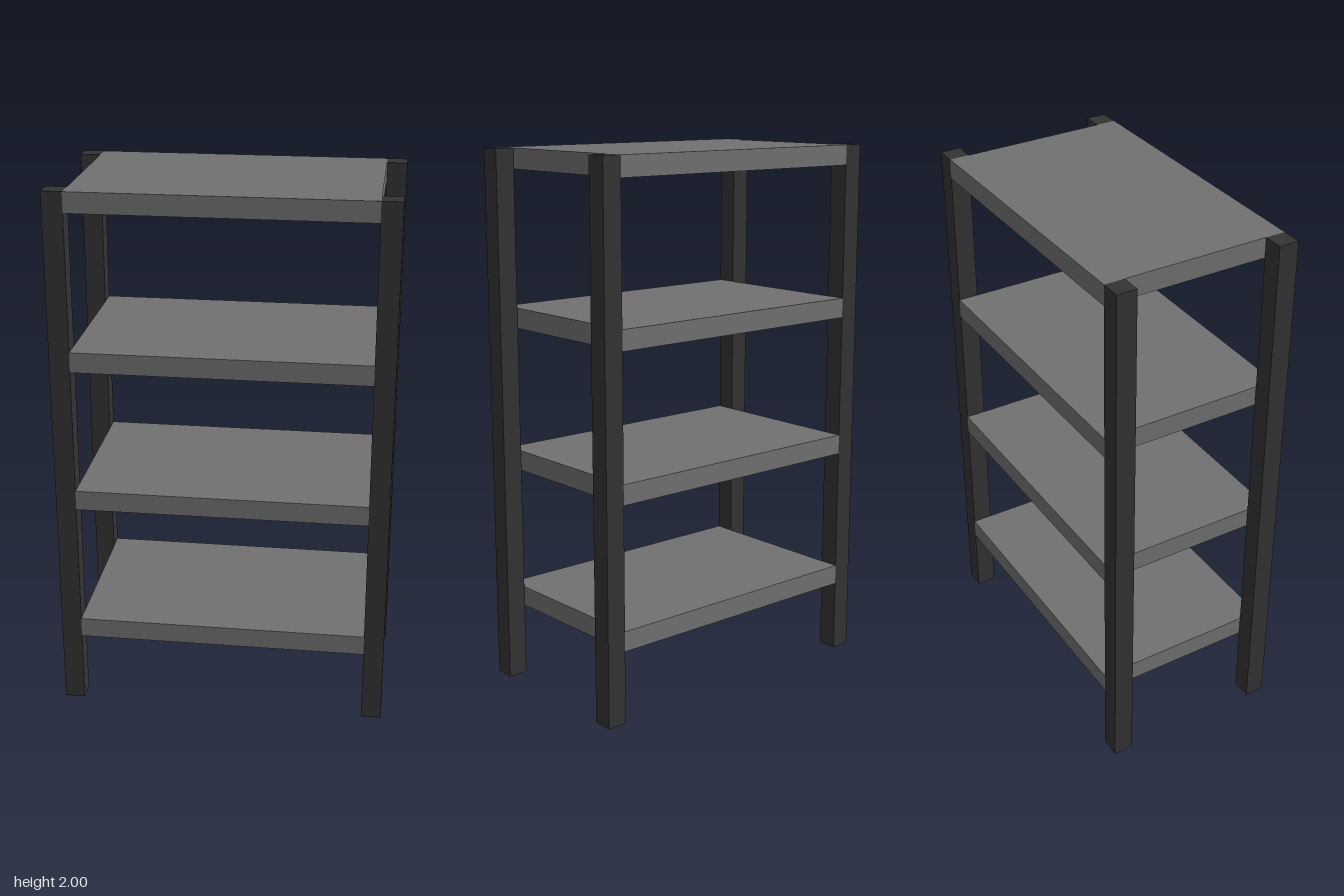
import * as THREE from 'three';

export function createModel() {
  const group = new THREE.Group();
  group.name = 'shelvingUnit';

  const postMaterial = new THREE.MeshStandardMaterial({ color: 0x333333 });
  postMaterial.name = 'dark grey';
  const shelfMaterial = new THREE.MeshStandardMaterial({ color: 0x717171 });
  shelfMaterial.name = 'mid grey';

  const height = 2;
  const halfWidth = 0.614;
  const halfDepth = 0.344;
  const thickness = 0.075; // shared by posts and shelves

  // Four square corner posts
  const postGeometry = new THREE.BoxGeometry(thickness, height, thickness);
  for (const [sx, side] of [[1, 'Left'], [-1, 'Right']]) {
    for (const [sz, end] of [[1, 'front'], [-1, 'back']]) {
      const post = new THREE.Mesh(postGeometry, postMaterial);
      post.name = `${end}${side}Post`;
      post.position.set(
        sx * (halfWidth - thickness / 2),
        height / 2,
        sz * (halfDepth - thickness / 2)
      );
      group.add(post);
    }
  }

  // Four shelves fitted between the left and right posts
  const shelfGeometry = new THREE.BoxGeometry(2 * (halfWidth - thickness), thickness, 2 * halfDepth);
  [0.348, 0.884, 1.423, height].forEach((top, i) => {
    const shelf = new THREE.Mesh(shelfGeometry, shelfMaterial);
    shelf.name = `shelf${i + 1}`;
    shelf.position.y = top - thickness / 2;
    group.add(shelf);
  });

  return group;
}
